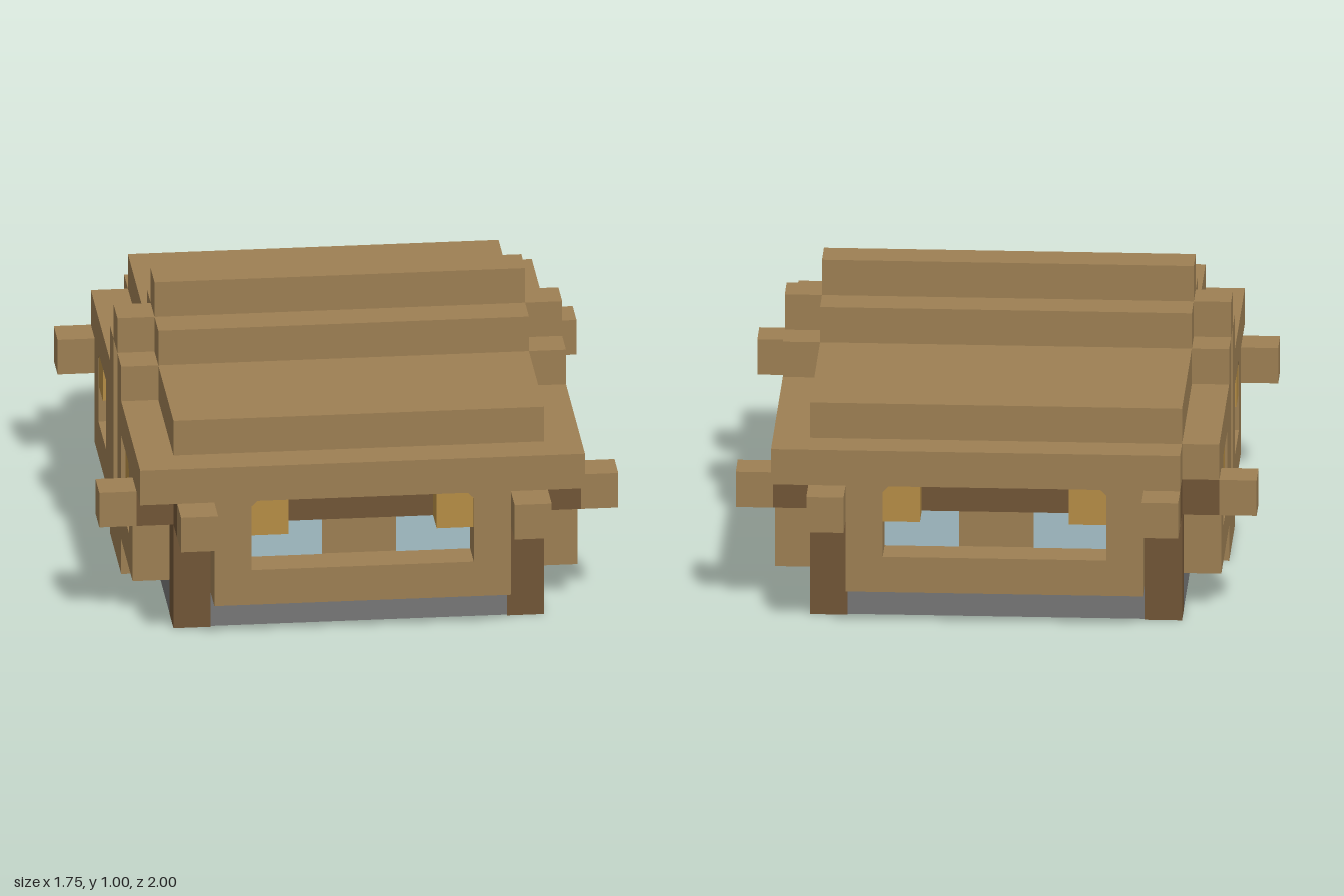
import * as THREE from 'three';

const U = 0.125; // one block

const material = (name, color) => {
  const m = new THREE.MeshStandardMaterial({ color });
  m.name = name;
  return m;
};

export function createModel() {
  const wood = material('plank wood', 0x9d7f53);
  const dark = material('dark timber', 0x715536);
  const stone = material('stone', 0x767676);
  const gold = material('golden wood', 0xb68d45);
  const glass = material('pale glass', 0xa6c1c9);

  const house = new THREE.Group();
  house.name = 'house';

  // Box given by its limits on each axis
  const box = (parent, name, mat, [x0, x1], [y0, y1], [z0, z1]) => {
    const mesh = new THREE.Mesh(new THREE.BoxGeometry(x1 - x0, y1 - y0, z1 - z0), mat);
    mesh.position.set((x0 + x1) / 2, (y0 + y1) / 2, (z0 + z1) / 2);
    mesh.name = name;
    parent.add(mesh);
  };
  const both = (v) => [-v, v];

  // Stone base, floor and inner body (crossed boxes leave room for corner posts)
  for (const [x, z] of [[0.5, 0.75], [0.625, 0.625]]) {
    box(house, 'foundation', stone, both(x), [0.003, U], both(z));
    box(house, 'innerWalls', wood, both(x), [U, 0.5], both(z));
  }
  box(house, 'floor', wood, both(0.5), [0, 0.006], both(0.625));
  box(house, 'doorStep', wood, [-0.75, -0.625], [0, U], [-0.125, 0.25]);

  // Stepped roof
  box(house, 'roofLower', wood, both(0.625), [0.5, 0.625], both(0.75));
  box(house, 'roofMiddle', wood, both(0.625), [0.625, 0.75], both(0.75));
  box(house, 'roofUpper', wood, both(0.625), [0.75, 0.875], [-0.125, 0.25]);
  box(house, 'roofRidge', wood, both(0.625), [0.875, 1], [0, 0.125]);

  // Corner posts with beams crossing out under the eaves
  const span = (s, a, b) => (s > 0 ? [a, b] : [-b, -a]);
  for (const sx of [-1, 1]) {
    for (const sz of [-1, 1]) {
      const px = span(sx, 0.5, 0.625), pz = span(sz, 0.625, 0.75), by = [0.375, 0.5];
      box(house, 'cornerPost', dark, px, [0, 0.5], pz);
      box(house, 'sideBeam', dark, span(sx, 0.625, 0.75), by, pz);
      box(house, 'sideBeamEnd', wood, span(sx, 0.75, 0.875), by, pz);
      box(house, 'frontBeam', dark, px, by, span(sz, 0.75, 0.875));
      box(house, 'frontBeamEnd', wood, px, by, span(sz, 0.875, 1));
    }
  }

  // Wall one block thick with openings, and plates set on the body behind it
  const facade = (name, angle, offset, flip, outline, holes, panels, blocks) => {
    const wall = new THREE.Group();
    wall.name = name;
    wall.rotation.y = angle;
    const points = (list) => list.map(([u, v]) => new THREE.Vector2(u * flip, v));
    const shape = new THREE.Shape(points(outline));
    holes.forEach((h) => shape.holes.push(new THREE.Path(points(h))));
    const geometry = new THREE.ExtrudeGeometry(shape, { depth: U, bevelEnabled: false });
    const mesh = new THREE.Mesh(geometry, wood);
    mesh.position.z = offset;
    mesh.name = 'outerWall';
    wall.add(mesh);
    const across = (a, b) => (flip > 0 ? [a, b] : [-b, -a]);
    for (const [part, mat, u0, u1, v0, v1] of panels) {
      box(wall, part, mat, across(u0, u1), [v0, v1], [offset - 0.002, offset + 0.005]);
    }
    for (const [u0, u1] of blocks) {
      box(wall, 'windowCorner', gold, across(u0, u1), [0.375, 0.5], [offset, offset + U - 0.002]);
    }
    house.add(wall);
  };

  // Opening with tiny cut corners at the top; c0 and c1 are the cuts on each side
  const opening = (u0, u1, v0, v1, c0, c1) => [
    [u0, v0], [u1, v0], [u1, v1 - c1], [u1 - c1, v1], [u0 + c0, v1], [u0, v1 - c0],
  ].filter(([u, v], i, a) => i === 0 || u !== a[i - 1][0] || v !== a[i - 1][1]);
  const cut = 0.02;

  // Front and back walls with one wide window each
  const longOutline = [[-0.5, U], [0.5, U], [0.5, 0.5], [0.625, 0.5], [0.625, 0.625],
    [-0.625, 0.625], [-0.625, 0.5], [-0.5, 0.5]];
  for (const [name, angle] of [['frontWall', 0], ['backWall', Math.PI]]) {
    facade(name, angle, 0.75, 1, longOutline, [opening(-0.375, 0.375, 0.25, 0.5, cut, cut)], [
      ['windowPane', glass, -0.375, -0.125, 0.25, 0.375],
      ['windowPane', glass, 0.125, 0.375, 0.25, 0.375],
      ['lintel', dark, -0.375, 0.375, 0.375, 0.5],
    ], [[-0.375, -0.25], [0.25, 0.375]]);
  }

  // Gable walls, drawn along z; the right one holds the door
  for (const s of [1, -1]) {
    const backEnd = s > 0 ? -0.875 : -0.75;
    const outline = [[-0.625, U], [0.625, U], [0.625, 0.5], [0.875, 0.5], [0.875, 0.625],
      [0.25, 0.625], [0.25, 0.75], [0.125, 0.75], [0.125, 0.875], [0, 0.875], [0, 0.75],
      [-0.125, 0.75], [-0.125, 0.625], [backEnd, 0.625], [backEnd, 0.5], [-0.625, 0.5]];
    const middle = s > 0
      ? [[-0.125, 0.25], [0.125, 0.25], [0.125, 0.75], [0, 0.75], [0, 0.5], [-0.125, 0.5]]
      : [[0, 0.13], [0.125, 0.13], [0.125, 0.75], [0, 0.75]];
    const panels = [['gablePane', glass, 0, 0.125, 0.5, 0.75]];
    for (const z of [-0.5, 0.25]) {
      panels.push(['windowPane', glass, z, z + 0.25, 0.25, 0.375]);
      panels.push(['lintel', dark, z, z + 0.25, 0.375, 0.5]);
    }
    if (s > 0) {
      panels.push(['windowPane', glass, -0.125, 0.125, 0.25, 0.375]);
      panels.push(['lintel', dark, -0.125, 0.125, 0.375, 0.5]);
    } else {
      panels.push(['door', dark, 0, 0.125, U, 0.5]);
    }
    facade(s > 0 ? 'leftGable' : 'rightGable', (s * Math.PI) / 2, 0.625, -s, outline, [
      opening(-0.5, -0.25, 0.25, 0.5, cut, 0),
      opening(0.25, 0.5, 0.25, 0.5, 0, cut),
      middle,
    ], panels, [[-0.5, -0.375], [0.375, 0.5]]);
  }

  return house;
}
